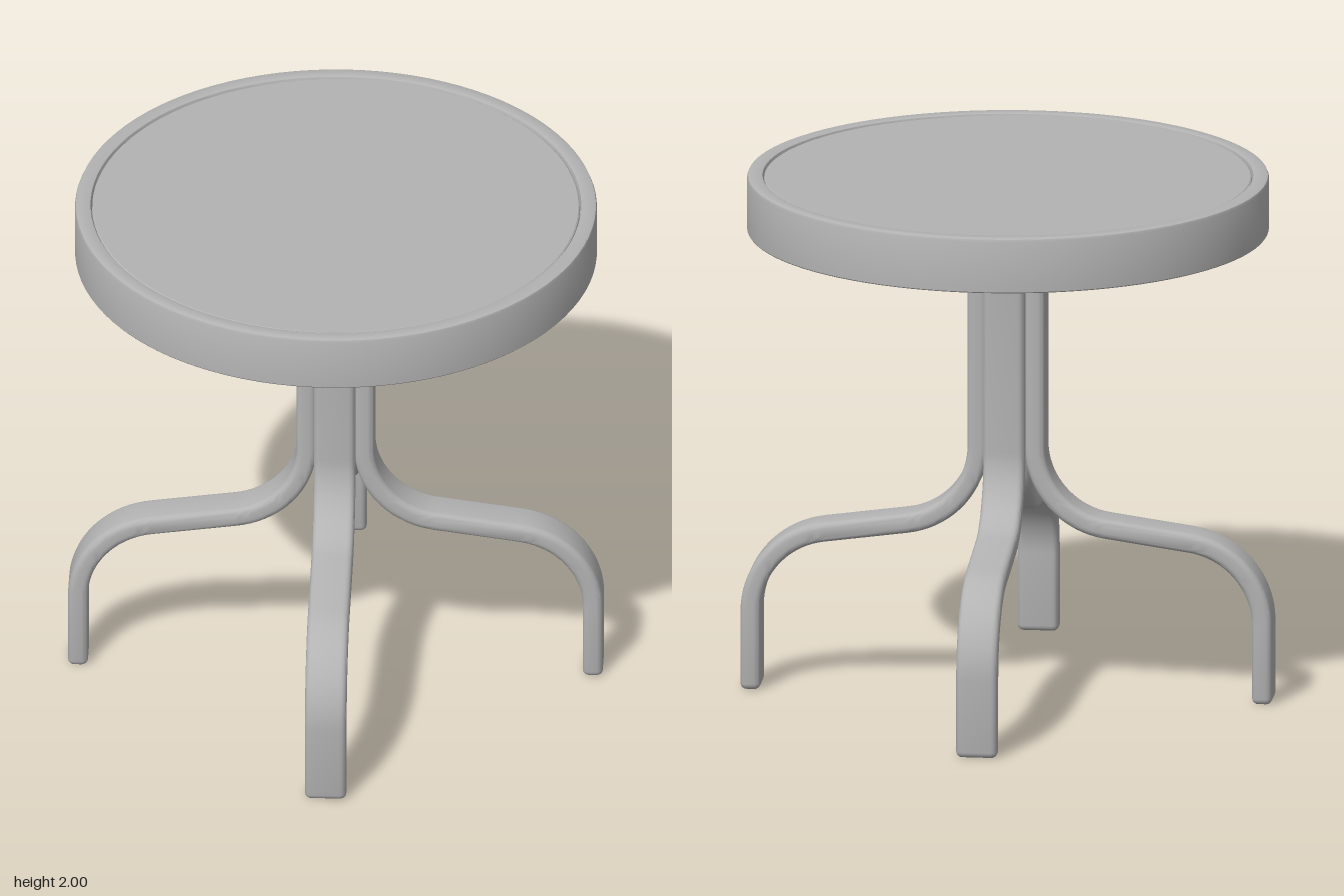
import * as THREE from 'three';
import { toCreasedNormals } from 'three/addons/utils/BufferGeometryUtils.js';

const HALF_W = 0.0775, HALF_T = 0.0375, CORNER = 0.024;

// Rounded-rectangle section as [normal, width] pairs, shrunk by inset
function section(inset) {
  const r = Math.max(CORNER - inset, 0.002), pts = [];
  const a = HALF_T - inset - r, b = HALF_W - inset - r;
  [[1, 1], [-1, 1], [-1, -1], [1, -1]].forEach(([sn, sw], q) => {
    for (let k = 0; k <= 4; k++) {
      const t = (q + k / 4) * Math.PI / 2;
      pts.push([sn * a + r * Math.cos(t), sw * b + r * Math.sin(t)]);
    }
  });
  return pts;
}

// Centreline of one bent tube leg, in the x-y plane, from foot to arm end
function legPath() {
  const path = [];
  const add = (x, y, deg, inset = 0) => {
    const t = deg * Math.PI / 180;
    path.push({ x, y, tx: Math.cos(t), ty: Math.sin(t), inset });
  };
  // arc about (cx, cy) from angle a0 to a1; the heading is at right angles to the spoke
  const arc = (cx, cy, r, a0, a1, n = 18) => {
    const turn = a1 > a0 ? 90 : -90;
    for (let i = 0; i <= n; i++) {
      const a = a0 + (a1 - a0) * i / n, t = a * Math.PI / 180;
      add(cx + r * Math.cos(t), cy + r * Math.sin(t), a + turn);
    }
  };
  const e = 0.022;
  for (let i = 0; i <= 4; i++) { // rounded foot end
    const t = i / 4 * Math.PI / 2;
    add(0.9625, e * (1 - Math.sin(t)) * 1 , 90, e * (1 - Math.cos(t)));
  }
  path.reverse();
  path.splice(0, 5);
  for (let i = 0; i <= 4; i++) {
    const t = i / 4 * Math.PI / 2;
    add(0.9625, e * (1 - Math.cos(t)), 90, e * (1 - Math.sin(t)));
  }
  arc(0.6465, 0.3, 0.316, 0, 82);          // knee
  arc(0.418, 0.964, 0.31, 262, 180);       // sweep up to the column
  arc(0.418, 1.595, 0.31, 180, 90);        // bend out under the top
  add(0.87, 1.905, 0);
  return path;
}

function sweep(path) {
  const pos = [], idx = [], n = section(0).length;
  for (const p of path)
    for (const [u, w] of section(p.inset)) pos.push(p.x - p.ty * u, p.y + p.tx * u, w);
  for (let i = 0; i < path.length - 1; i++)
    for (let j = 0; j < n; j++) {
      const k = (j + 1) % n, a = i * n + j, b = i * n + k;
      idx.push(a, b, a + n, b, b + n, a + n);
    }
  const last = (path.length - 1) * n;
  for (let j = 1; j < n - 1; j++) {
    idx.push(0, j + 1, j, last, last + j, last + j + 1);
  }
  const g = new THREE.BufferGeometry();
  g.setAttribute('position', new THREE.Float32BufferAttribute(pos, 3));
  g.setIndex(idx);
  return toCreasedNormals(g, 0.7);
}

function lathe(points) {
  const profile = points.map(([r, y]) => new THREE.Vector2(r, y));
  return toCreasedNormals(new THREE.LatheGeometry(profile, 96), 0.6);
}

export function createModel() {
  const table = new THREE.Group();
  table.name = 'table';
  const grey = new THREE.MeshStandardMaterial({ color: 0xb3b3b3 });
  grey.name = 'grey';
  const add = (parent, name, geometry) => {
    const m = new THREE.Mesh(geometry, grey);
    m.name = name;
    parent.add(m);
    return m;
  };

  // Hollow rim with a flat upper lip
  add(table, 'rim', lathe([
    [0.958, 1.79], [0.972, 1.79], [0.975, 1.794], [0.975, 1.988], [0.9715, 1.9965], [0.963, 2],
    [0.923, 2], [0.917, 1.9975], [0.914, 1.992], [0.914, 1.95], [0.958, 1.95], [0.958, 1.79]
  ]));
  // Inset top panel
  add(table, 'topPanel', lathe([
    [0, 1.95], [0.911, 1.95], [0.911, 1.989], [0.906, 1.993], [0, 1.993]
  ]));

  // Four bent legs, each running into a support arm
  const legGeometry = sweep(legPath());
  for (let i = 0; i < 4; i++) {
    add(table, 'leg', legGeometry).rotation.y = i * Math.PI / 2;
  }

  // Eight clips on the inside of the rim
  for (let i = 0; i < 8; i++) {
    const clip = new THREE.Group();
    clip.name = 'rimClip';
    clip.rotation.y = (i + 0.5) * Math.PI / 4;
    add(clip, 'clipPlate', new THREE.BoxGeometry(0.012, 0.11, 0.055)).position.set(0.95, 1.875, 0);
    add(clip, 'clipTab', new THREE.BoxGeometry(0.045, 0.012, 0.055)).position.set(0.934, 1.925, 0);
    table.add(clip);
  }

  // Small paired bracket by the front arm end
  for (const s of [-1, 1]) {
    add(table, 'armBracket', new THREE.BoxGeometry(0.045, 0.012, 0.09)).position.set(s * 0.035, 1.862, 0.9);
  }
  return table;
}
